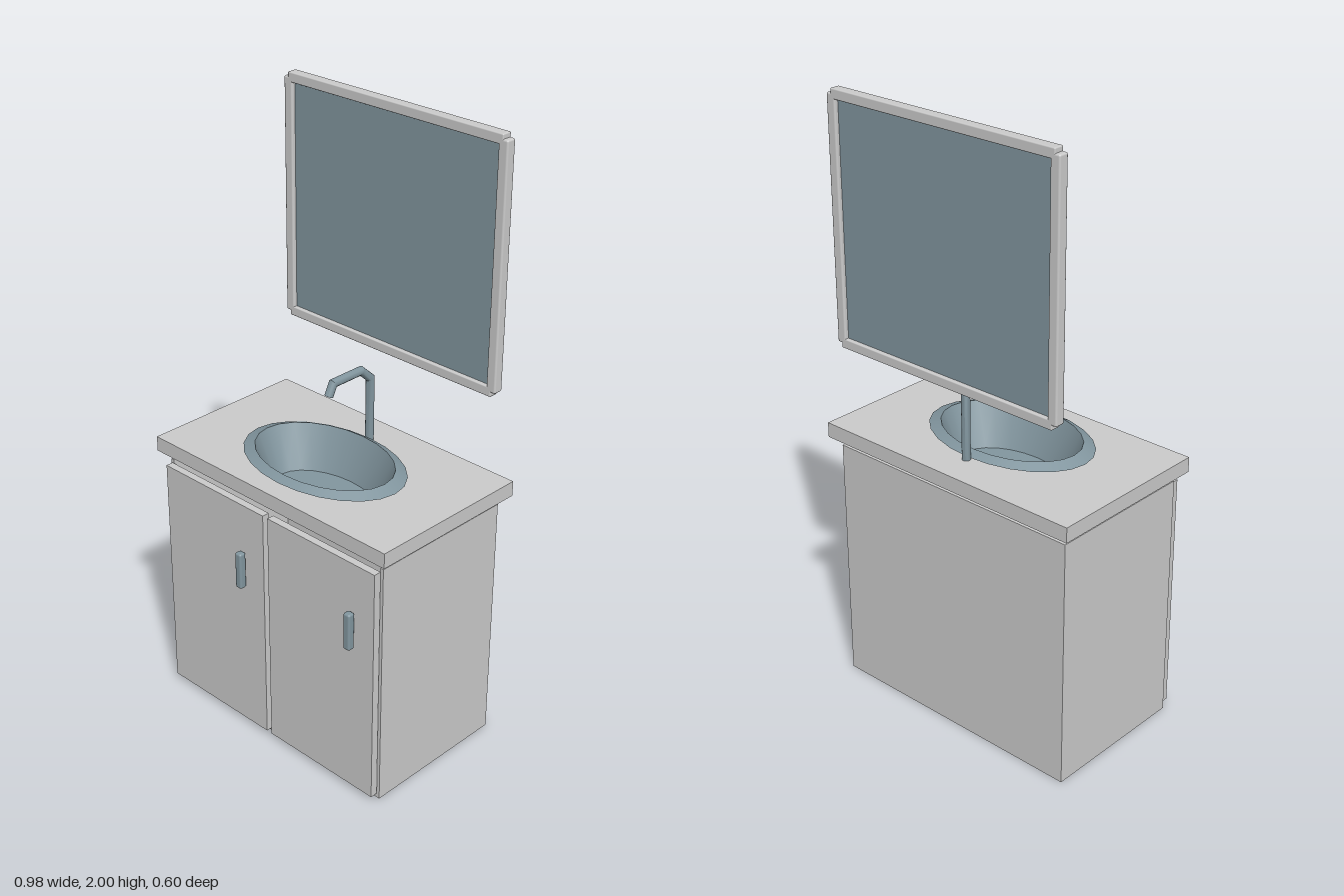
import * as THREE from 'three';
import { toCreasedNormals } from 'three/addons/utils/BufferGeometryUtils.js';
import { RoundedBoxGeometry } from 'three/addons/geometries/RoundedBoxGeometry.js';

const grey = new THREE.MeshStandardMaterial({ color: 0xcccccc });
const steel = new THREE.MeshStandardMaterial({ color: 0x82969f });
const steelSheet = new THREE.MeshStandardMaterial({ color: 0x82969f, side: THREE.DoubleSide });

function add(parent, name, geometry, material) {
  const mesh = new THREE.Mesh(geometry, material);
  mesh.name = name;
  parent.add(mesh);
  return mesh;
}

// Box given by its limits on each axis, with optional rounded edges
function block(parent, name, [x0, x1], [y0, y1], [z0, z1], material = grey, radius = 0) {
  const size = [x1 - x0, y1 - y0, z1 - z0];
  const geometry = radius
    ? new RoundedBoxGeometry(...size, 2, radius)
    : new THREE.BoxGeometry(...size);
  const mesh = add(parent, name, geometry, material);
  mesh.position.set((x0 + x1) / 2, (y0 + y1) / 2, (z0 + z1) / 2);
  return mesh;
}

// Oval basin: a lathe whose rings [rx, rz, y] each get their own depth
function basinGeometry(rings) {
  const geometry = new THREE.LatheGeometry(rings.map(([rx, , y]) => new THREE.Vector2(rx, y)), 24);
  const p = geometry.attributes.position;
  for (let i = 0; i < p.count; i++) {
    const [rx, rz] = rings[i % rings.length];
    p.setZ(i, p.getZ(i) * rz / rx);
  }
  return toCreasedNormals(geometry, 0.5);
}

// Mitred pipe through points [y, z] in the middle plane
function pipeGeometry(points, radius) {
  const path = points.map(([y, z]) => new THREE.Vector3(0, y, z));
  const last = path.length - 1;
  const geometry = new THREE.CylinderGeometry(radius, radius, 1, 12, last);
  const direction = (i) => path[i + 1].clone().sub(path[i]).normalize();
  const frames = path.map((point, i) => {
    const before = direction(Math.max(i - 1, 0));
    const after = direction(Math.min(i, last - 1));
    const tangent = before.clone().add(after).normalize();
    const normal = new THREE.Vector3(0, -tangent.z, tangent.y);
    return { point, normal: normal.divideScalar(tangent.dot(after)) };
  });
  const p = geometry.attributes.position;
  for (let i = 0; i < p.count; i++) {
    const { point, normal } = frames[Math.round((p.getY(i) + 0.5) * last)];
    const v = point.clone().addScaledVector(normal, p.getZ(i));
    p.setXYZ(i, p.getX(i), v.y, v.z);
  }
  return toCreasedNormals(geometry, 0.6);
}

export function createModel() {
  const model = new THREE.Group();
  model.name = 'bathroomVanity';

  // Cabinet shell, open at the top and front
  const cabinet = new THREE.Group();
  cabinet.name = 'cabinet';
  model.add(cabinet);
  block(cabinet, 'cabinetFloor', [-0.46, 0.46], [0, 0.012], [-0.27, 0.24]);
  block(cabinet, 'cabinetBack', [-0.46, 0.46], [0.012, 0.84], [-0.27, -0.258]);
  for (const s of [-1, 1]) {
    const xs = [s * 0.46, s * 0.448].sort((a, b) => a - b);
    block(cabinet, 'cabinetSide', xs, [0.012, 0.84], [-0.258, 0.24]);
  }

  // Doors, with both handles on the same side of their door
  for (const [x0, x1, handleX] of [[-0.452, -0.01, -0.094], [0.01, 0.452, 0.37]]) {
    block(model, 'door', [x0, x1], [0.018, 0.83], [0.243, 0.268]);
    block(model, 'handle', [handleX - 0.013, handleX + 0.013], [0.545, 0.672], [0.275, 0.3], steel, 0.007);
  }

  // Countertop with an oval cut-out
  const sinkZ = 0.014;
  const top = new THREE.Shape([[-0.49, -0.27], [0.49, -0.27], [0.49, 0.3], [-0.49, 0.3]]
    .map(([x, y]) => new THREE.Vector2(x, y)));
  top.holes.push(new THREE.Path().absellipse(0, -sinkZ, 0.252, 0.17, 0, Math.PI * 2, true));
  const topGeometry = new THREE.ExtrudeGeometry(top, { depth: 0.05, bevelEnabled: false, curveSegments: 24 });
  add(model, 'countertop', topGeometry.rotateX(-Math.PI / 2), grey).position.y = 0.87;

  // Sink: sloping lip, bowl wall and flat bottom with a drain hole
  const sink = add(model, 'sink', basinGeometry([
    [0.025, 0.025, 0.8], [0.19, 0.119, 0.8], [0.253, 0.171, 0.943], [0.296, 0.199, 0.927],
  ]), steelSheet);
  sink.position.z = sinkZ;

  // Faucet
  add(model, 'faucet', pipeGeometry([
    [0.92, -0.188], [1.137, -0.188], [1.176, -0.145], [1.176, -0.024], [1.138, -0.005],
  ], 0.014), steel);

  // Wall mirror: glass held by four bars
  const mirror = new THREE.Group();
  mirror.name = 'mirror';
  model.add(mirror);
  const depth = [-0.289, -0.255];
  for (const y of [1.195, 1.968]) {
    block(mirror, 'frameRail', [-0.42, 0.42], [y, y + 0.032], depth, grey, 0.004);
  }
  for (const x of [-0.437, 0.403]) {
    block(mirror, 'frameStile', [x, x + 0.034], [1.21, 1.985], depth, grey, 0.006);
  }
  block(mirror, 'mirrorGlass', [-0.41, 0.41], [1.215, 1.98], [-0.276, -0.268], steel);

  return model;
}
